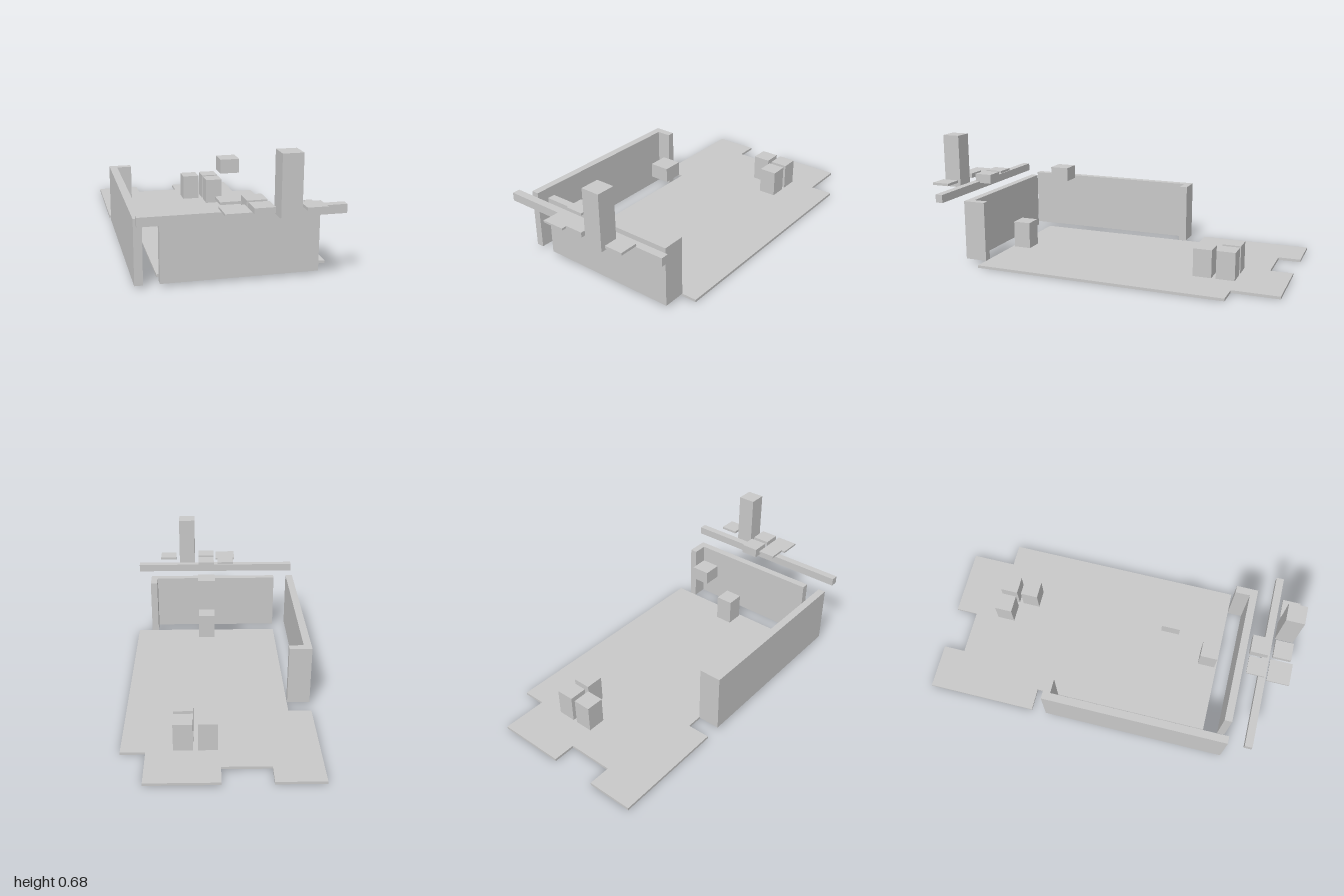
import * as THREE from 'three';

export function createModel() {
  const model = new THREE.Group();
  model.name = 'roomLayout';
  const grey = new THREE.MeshStandardMaterial({ color: 0xc8c8c8, flatShading: true });
  grey.name = 'plain grey';

  // Extrudes an [x, z] outline upward from y0 to y1
  function slab(name, outline, y0, y1) {
    const shape = new THREE.Shape(outline.map(([x, z]) => new THREE.Vector2(x, -z)));
    const geo = new THREE.ExtrudeGeometry(shape, { depth: y1 - y0, bevelEnabled: false });
    geo.rotateX(-Math.PI / 2).translate(0, y0, 0);
    const mesh = new THREE.Mesh(geo, grey);
    mesh.name = name;
    model.add(mesh);
  }

  // Upright block centred on (x, z), square by default
  function block(name, x, z, y0, y1, width = 0.1, depth = width) {
    const mesh = new THREE.Mesh(new THREE.BoxGeometry(width, y1 - y0, depth), grey);
    mesh.position.set(x, (y0 + y1) / 2, z);
    mesh.name = name;
    model.add(mesh);
  }

  // Notched floor plate
  slab('floor', [
    [-0.5, -1], [-0.25, -1], [-0.25, -0.878], [0, -0.878], [0, -1], [0.373, -1],
    [0.373, -0.752], [0.5, -0.752], [0.5, 0.622], [-0.375, 0.622], [-0.375, -0.38], [-0.5, -0.38],
  ], 0, 0.014);

  // L-shaped walls
  slab('sideWall', [
    [-0.5, -0.295], [-0.377, -0.295], [-0.377, -0.253], [-0.458, -0.253], [-0.458, 0.747], [-0.5, 0.747],
  ], 0.014, 0.345);
  slab('frontWall', [
    [-0.377, 0.705], [0.375, 0.705], [0.375, 0.622], [0.416, 0.622], [0.416, 0.747], [-0.377, 0.747],
  ], 0.014, 0.345);

  // Raised beam in front of the walls
  block('beam', 0, 0.852, 0.345, 0.39, 1, 0.042);

  // Blocks standing on the floor
  for (const [x, z] of [[0.061, -0.69], [0.186, -0.69], [0.186, -0.566], [0.061, 0.56]]) {
    block('floorBlock', x, z, 0.014, 0.165);
  }
  block('hangingBlock', 0.061, 0.31, 0.435, 0.509);

  // Column and small plates around the beam
  block('column', 0.186, 0.935, 0.375, 0.675);
  block('rearBlock', 0.061, 0.81, 0.38, 0.433);
  block('frontBlock', 0.061, 0.935, 0.406, 0.433);
  block('rearPlate', -0.064, 0.81, 0.42, 0.433);
  block('widePlate', -0.064, 0.938, 0.409, 0.42, 0.124);
  block('sidePlate', 0.31, 0.935, 0.406, 0.42);

  return model;
}
